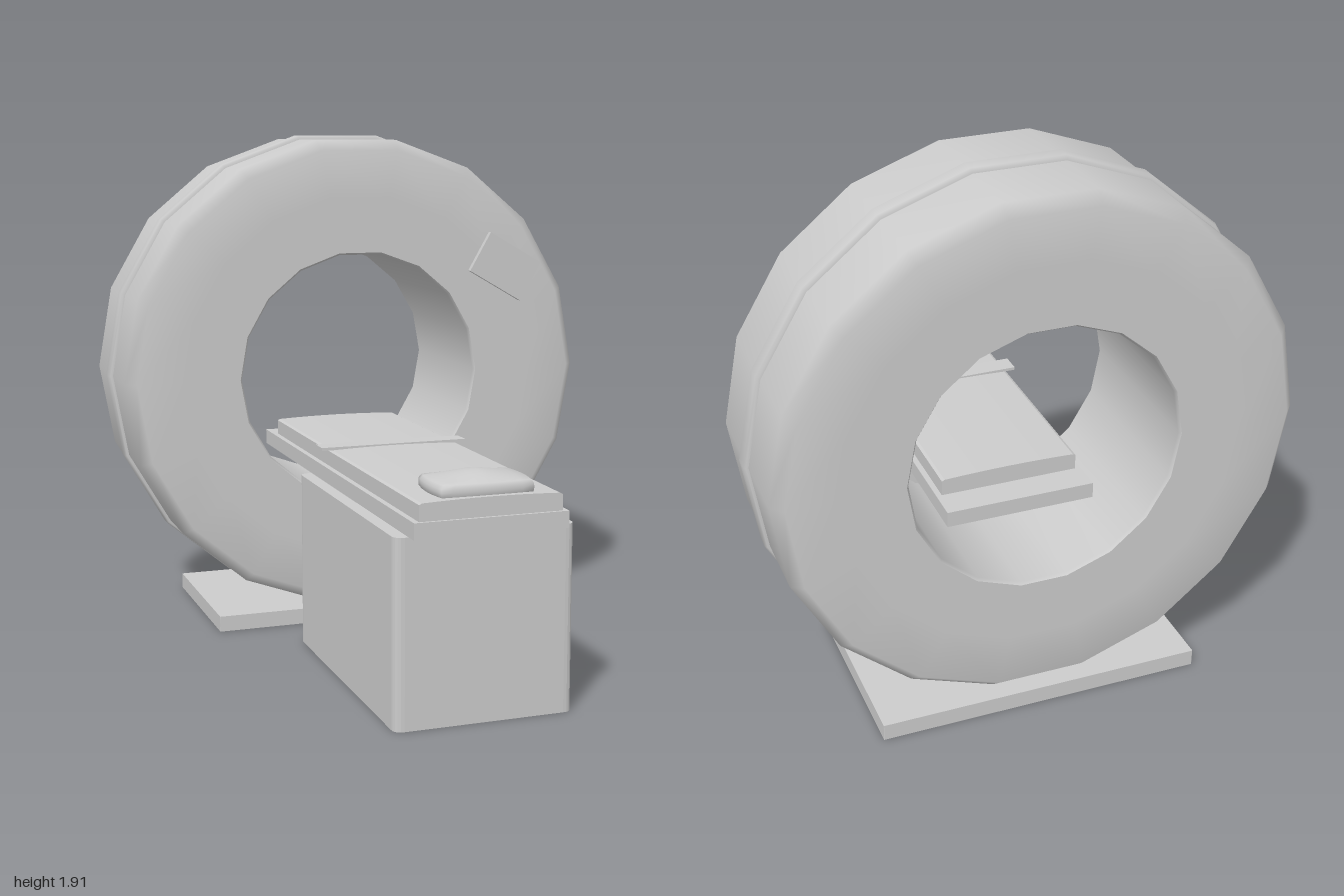
import * as THREE from 'three';
import { mergeVertices } from 'three/addons/utils/BufferGeometryUtils.js';

export function createModel() {
  const root = new THREE.Group();
  const grey = new THREE.MeshStandardMaterial({ color: 0xcccccc });
  grey.name = 'pale grey';

  const add = (name, geometry) => {
    const mesh = new THREE.Mesh(geometry, grey);
    mesh.name = name;
    root.add(mesh);
    return mesh;
  };
  const box = (name, x0, x1, y0, y1, z0, z1) =>
    add(name, new THREE.BoxGeometry(x1 - x0, y1 - y0, z1 - z0))
      .position.set((x0 + x1) / 2, (y0 + y1) / 2, (z0 + z1) / 2);

  // Eighteen-sided ring around the z axis; profile points are [radius, z]
  const RING_Y = 0.98;
  const ring = (name, profile) => {
    const points = profile.map(([r, z]) => new THREE.Vector2(r, z));
    const g = new THREE.LatheGeometry(points, 18, Math.PI / 18);
    g.rotateX(Math.PI / 2);
    add(name, g).position.y = RING_Y;
  };

  // Rounded rectangle outline in plan
  const outline = (Type, w, d, r) => {
    const p = new Type();
    const x = w / 2, y = d / 2;
    p.moveTo(-x + r, -y);
    p.lineTo(x - r, -y);
    p.quadraticCurveTo(x, -y, x, -y + r);
    p.lineTo(x, y - r);
    p.quadraticCurveTo(x, y, x - r, y);
    p.lineTo(-x + r, y);
    p.quadraticCurveTo(-x, y, -x, y - r);
    p.lineTo(-x, -y + r);
    p.quadraticCurveTo(-x, -y, -x + r, -y);
    return p;
  };
  // Upright block with a shallow recess underneath, framed by a thin skirt
  const recessedBlock = (name, w, d, r, top, recess, zMid) => {
    const raise = (shape, y0, y1, label) => {
      const g = new THREE.ExtrudeGeometry(shape, { depth: y1 - y0, bevelEnabled: false, curveSegments: 5 });
      g.rotateX(-Math.PI / 2);
      add(label, g).position.set(0, y0, zMid);
    };
    raise(outline(THREE.Shape, w, d, r), recess, top, name);
    const frame = outline(THREE.Shape, w, d, r);
    frame.holes.push(outline(THREE.Path, w - 0.008, d - 0.008, r));
    raise(frame, 0, recess, name + 'Skirt');
  };

  // Scanner ring: soft outer housing, plain bore, raised trim band
  ring('ringHousing', [
    [0.485, -0.98], [0.7, -0.98], [0.885, -0.98], [0.925, -0.935],
    [0.925, -0.385], [0.885, -0.34], [0.7, -0.34], [0.485, -0.34],
  ]);
  ring('ringBore', [[0.485, -0.34], [0.477, -0.352], [0.477, -0.968], [0.485, -0.98]]);
  ring('ringTrim', [
    [0.915, -0.692], [0.934, -0.692], [0.941, -0.682],
    [0.941, -0.632], [0.934, -0.622], [0.915, -0.622],
  ]);

  // Control panel tilted on the front of the ring
  const panel = add('controlPanel', new THREE.BoxGeometry(0.25, 0.175, 0.03));
  panel.position.set(0.603, 1.39, -0.332);
  panel.rotation.z = -Math.PI / 6;

  // Floor plate and table pedestal
  recessedBlock('basePlate', 1.17, 0.68, 0.002, 0.06, 0.057, -0.66);
  recessedBlock('pedestal', 0.635, 1.07, 0.035, 0.648, 0.06, 0.415);

  // Table: lower tray and gently crowned mattress
  box('tableTray', -0.27, 0.27, 0.648, 0.705, -0.77, 1.0);
  const section = new THREE.Shape();
  section.moveTo(-0.25, 0.7);
  section.lineTo(0.25, 0.7);
  section.lineTo(0.25, 0.76);
  section.lineTo(0.24, 0.765);
  section.quadraticCurveTo(0, 0.776, -0.24, 0.765);
  section.lineTo(-0.25, 0.76);
  const mattress = new THREE.ExtrudeGeometry(section, { depth: 1.65, bevelEnabled: false, curveSegments: 8 });
  add('mattress', mattress).position.z = -0.66;

  // Strap across the mattress
  box('strap', -0.283, 0.283, 0.765, 0.776, -0.02, 0.055);

  // Pillow: box with barrelled sides, rounded rims and a domed top
  let pillow = new THREE.BoxGeometry(2, 2, 2, 8, 4, 8);
  pillow.deleteAttribute('normal');
  pillow.deleteAttribute('uv');
  pillow = mergeVertices(pillow);
  const pos = pillow.attributes.position;
  for (let i = 0; i < pos.count; i++) {
    const u = pos.getX(i), v = pos.getY(i), w = pos.getZ(i);
    const rim = 1 - 0.06 * v ** 4;
    const dome = v > 0 ? v * 0.027 * (1 - Math.abs(u) ** 1.3) * (1 - w * w) : 0;
    pos.setXYZ(i,
      u * (0.162 + 0.012 * (1 - w * w)) * rim,
      0.784 + v * 0.025 + dome,
      0.852 + w * (0.106 + 0.012 * (1 - u * u)) * rim);
  }
  pillow.computeVertexNormals();
  add('pillow', pillow);

  return root;
}
